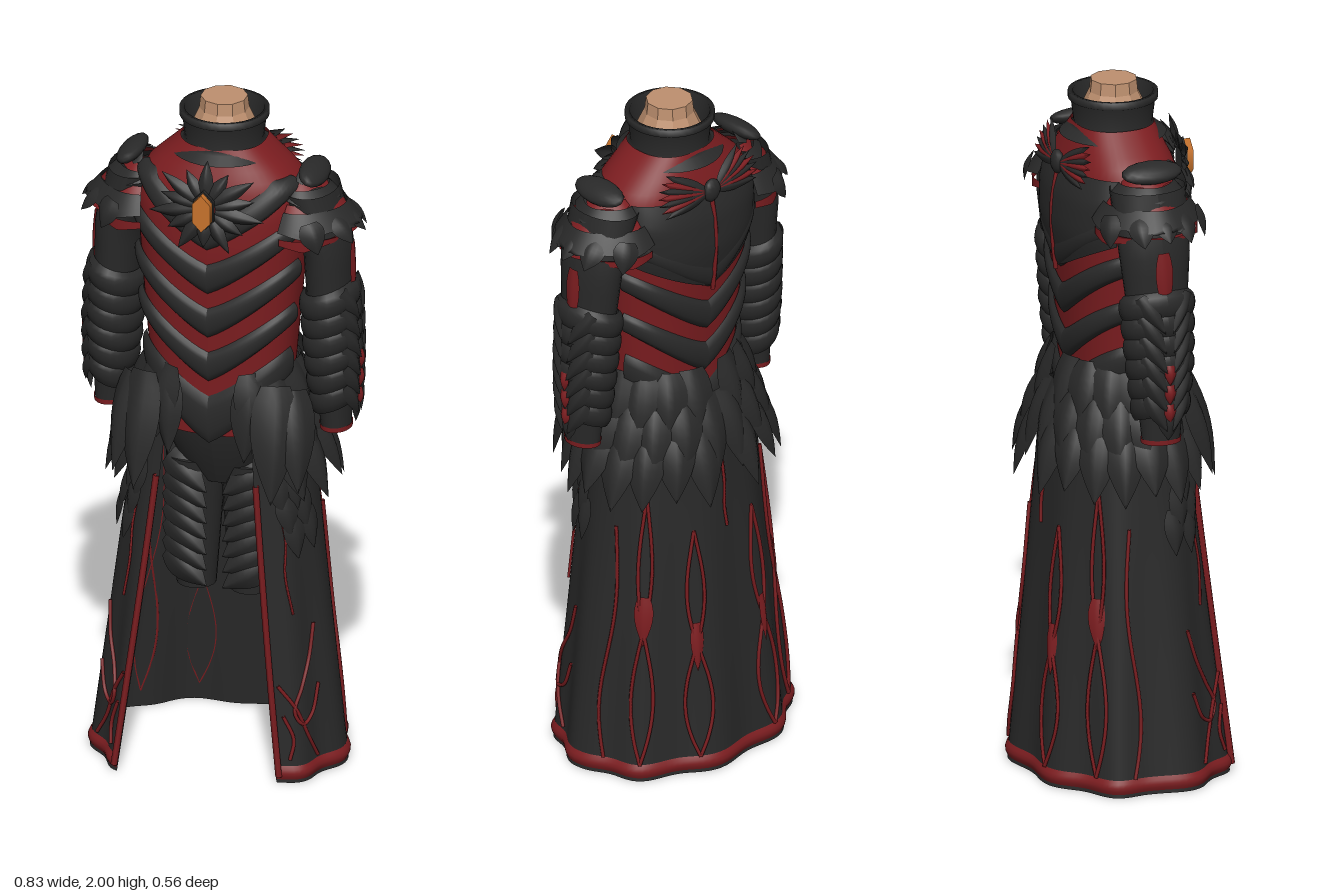
import * as THREE from 'three';

const paint = (name, color) => new THREE.MeshStandardMaterial({ name, color, side: THREE.DoubleSide });
const PI = Math.PI, V = (x, y, z) => new THREE.Vector3(x, y, z);
const mix = THREE.MathUtils.lerp;
const pw = (a, k) => Math.sign(a) * Math.abs(a) ** k;

// Interpolates a table of cross-sections whose first column is descending height
function section(rows, y) {
  let i = 0;
  while (i < rows.length - 2 && y < rows[i + 1][0]) i++;
  const a = rows[i], b = rows[i + 1];
  const t = THREE.MathUtils.clamp((a[0] - y) / (a[0] - b[0]), 0, 1);
  return a.map((n, k) => mix(n, b[k], t));
}

// Smooth surface from a rule f(u, v) -> Vector3
function grid(f, nu, nv) {
  const pos = [], idx = [];
  for (let j = 0; j <= nv; j++) for (let i = 0; i <= nu; i++) {
    const p = f(i / nu, j / nv);
    pos.push(p.x, p.y, p.z);
    if (i < nu && j < nv) {
      const a = j * (nu + 1) + i, b = a + nu + 1;
      idx.push(a, b, a + 1, a + 1, b, b + 1);
    }
  }
  const g = new THREE.BufferGeometry();
  g.setAttribute('position', new THREE.Float32BufferAttribute(pos, 3));
  g.setIndex(idx);
  g.computeVertexNormals();
  return g;
}

// Pointed, ridged leaf plate from one point to another, facing along out
function leaf(from, to, width, out, bulge = 0.015) {
  const dir = to.clone().sub(from).normalize();
  const side = dir.clone().cross(out).normalize(), n = side.clone().cross(dir).normalize();
  return grid((u, v) => {
    const a = u * 2 - 1, w = width / 2 * Math.sin(PI * mix(0.16, 1, v) ** 0.85);
    return from.clone().lerp(to, v).addScaledVector(side, a * w)
      .addScaledVector(n, bulge * (1 - Math.abs(a) ** 1.3) * Math.sin(PI * mix(0.1, 1, v)));
  }, 6, 8);
}

// Height, half width, centre z, half depth
const TORSO = [[1.88, .12, .008, .11], [1.83, .175, .01, .128], [1.78, .23, .012, .148], [1.7, .245, .012, .167],
  [1.6, .238, .012, .172], [1.4, .222, .018, .158], [1.2, .205, .02, .147], [1, .195, .02, .143]];
function torsoAt(a, y, off = 0) {
  const [, hx, cz, hz] = section(TORSO, y);
  return V((hx + off) * pw(Math.sin(a), .85), y, cz + (hz + off) * pw(Math.cos(a), .85));
}

// Long open coat; a = 0 is the front, a = PI the back
function coatAt(a, y, off = 0) {
  const t = 1 - y / 1.02, c = Math.cos(a), k = .86 - .12 * c;
  const fold = Math.sin(a * 9 + 0.6) * 0.012 * t + off;
  const hx = mix(.245, .355, t) + fold, hz = mix(.185, .268, t) + fold;
  const x = hx * pw(Math.sin(a), k);
  return V(x - .008 * t, y, hz * pw(c, k) - .1 * t * x * Math.max(0, c));
}
const coatEdge = y => mix(.57, .42, y / 1.02);

export function createModel() {
  const root = new THREE.Group();
  const black = paint('blackLeather', 0x292929), red = paint('crimsonCloth', 0x7c1d20);
  const skin = paint('skin', 0xbe906f), amber = paint('amber', 0xc8732c);
  const part = name => { const g = new THREE.Group(); g.name = name; root.add(g); return g; };
  const add = (parent, name, geo, mat) => {
    const m = new THREE.Mesh(geo, mat); m.name = name; parent.add(m); return m;
  };
  const tube = (pts, r) => new THREE.TubeGeometry(new THREE.CatmullRomCurve3(pts), pts.length * 6, r, 5);
  const lathe = (pts, n) => new THREE.LatheGeometry(pts.map(p => new THREE.Vector2(...p)), n);

  // Neck and collar
  const neckGeo = lathe([[.105, 1.86], [.1, 1.9], [.07, 1.965], [.066, 2], [0, 2]], 10).toNonIndexed();
  neckGeo.computeVertexNormals();
  add(root, 'neck', neckGeo, skin).position.z = .012;
  add(root, 'collar', lathe([[.15, 1.845], [.122, 1.866], [.11, 1.875], [.118, 1.94], [.126, 1.945], [.126, 1.965],
    [.112, 1.965], [.104, 1.87]], 32), black).position.z = .01;

  // Torso with chevron plates front and back
  const torso = part('torso');
  add(torso, 'tunic', grid((u, v) => torsoAt(u * 2 * PI, mix(1.88, 1.02, v)), 48, 30), red);
  const puff = v => .002 + .016 * Math.sqrt(Math.max(0, Math.sin(PI * v)));
  for (const s of [1, -1]) {
    for (let i = 0; i < 5; i++) for (const back of [0, 1]) {
      if (back && i < 1) continue;
      const tip = 1.645 - i * .137, low = i === 4 ? -.1 : -.045;
      add(torso, back ? 'backChevron' : 'frontChevron', grid((u, v) => {
        const a = mix(0, 1.32, u), y = tip + .155 * Math.sin(a) + mix(.045, low, v) * (1 - .3 * u);
        return torsoAt(s * (back ? PI - a : a), Math.min(y, 1.8), puff(v));
      }, 16, 8), black);
    }
    add(torso, 'backPlate', grid((u, v) => {
      const a = u * 1.15, y = mix(1.77, 1.47 + .12 * Math.sin(a), v);
      return torsoAt(s * (PI - a), y, .004 + .014 * Math.sqrt(Math.sin(PI * mix(.04, .96, v))) * (1 - u ** 6));
    }, 14, 12), black);
  }
  add(torso, 'spineCord', tube([1.76, 1.65, 1.55, 1.46].map(y => torsoAt(PI, y, .016)), .007), red);

  // Breast ornament: petals around a gem
  const brooch = part('brooch');
  for (let i = 0; i < 14; i++) {
    const a = (i + .5) / 14 * 2 * PI, c = Math.cos(a), s = Math.sin(a), r = i % 2 ? .172 : .14;
    add(brooch, 'petal', leaf(V(c * .03, 1.735 + s * .03, .203), V(c * r, 1.735 + s * r * .8, .2 - s * .022 - .02 * c * c),
      .044, V(0, 0, 1)), black);
  }
  const lozenge = (name, size, mat, z) => add(brooch, name,
    new THREE.CylinderGeometry(1, 1, 1, 6).rotateX(PI / 2).scale(...size), mat).position.set(0, 1.735, z);
  lozenge('gemSetting', [.034, .062, .012], black, .216);
  lozenge('gem', [.03, .056, .02], amber, .232);
  // Fans of narrow leaves at the neckline
  const fans = part('necklineLeaves');
  for (const s of [1, -1]) for (let i = 0; i < 7; i++) {
    const a = -.4 + i * .2, c = Math.cos(a), q = Math.sin(a);
    add(fans, 'backLeaf', leaf(V(s * .025, 1.775 + q * .01, -.157), V(s * (.025 + c * .165), 1.785 + q * .1, -.142 + q * .035),
      .034, V(0, .3, -1), .012), i % 2 ? red : black);
  }
  add(fans, 'backKnot', new THREE.SphereGeometry(1, 12, 8).scale(.03, .035, .018), black).position.set(0, 1.775, -.158);

  for (const s of [1, -1]) {
    // Sloping shoulder guard of nested bands
    const guard = part(s > 0 ? 'leftShoulderGuard' : 'rightShoulderGuard');
    const bands = [[0, .34, .006, black], [.3, .46, .002, red], [.43, .64, .007, black], [.6, .76, .001, red],
      [.72, 1.02, .008, black], [1, 1.15, -.006, red]];
    for (const [a, b, off, mat] of bands) add(guard, mat === red ? 'redBand' : 'blackBand', grid((u, v) => {
      const th = mix(-1.8, 1.8, u), c = Math.cos(th);
      const e = mix(a, b - .06 * Math.abs(Math.sin(th * 2.5)) * v, v), r = Math.min(e, 1);
      const peak = .03 * Math.max(0, c) ** 4 * r * (e > 1 ? 0 : 1);
      return V(s * (.23 + (.135 + off) * r * c + peak), 1.812 + off - .16 * e ** 1.4,
        .015 + (.152 + off) * r ** .85 * Math.sin(th));
    }, 32, 8), mat);
    add(guard, 'crest', new THREE.SphereGeometry(1, 16, 10).scale(.042, .024, .09).rotateZ(-s * .45), black)
      .position.set(s * .265, 1.803, .018);
    for (const th of [-1.1, -.45, 0, .45, 1.1]) {
      const c = Math.cos(th), q = Math.sin(th);
      add(guard, 'edgeLeaf', leaf(V(s * (.23 + .12 * c), 1.7, .015 + .145 * q),
        V(s * (.235 + .178 * c), 1.64 - .03 * Math.abs(q), .015 + .16 * q), .075, V(s * c, .4, q)), black);
    }

    // Sleeve, ridged bracer and cuff
    const arm = part(s > 0 ? 'leftArm' : 'rightArm');
    const rows = [[1.76, .25, .01, .08, .11], [1.6, .302, .01, .068, .105], [1.45, .308, .015, .064, .09],
      [1.25, .32, .02, .06, .078], [1.04, .328, .02, .042, .055]];
    const armAt = (a, y, off = 0, lift = 0) => {
      const [, cx, cz, rx, rz] = section(rows, y);
      return V(s * (cx + (rx + off) * Math.cos(a)), y + lift * Math.cos(a), cz + (rz + off) * Math.sin(a));
    };
    add(arm, 'sleeve', grid((u, v) => armAt(u * 2 * PI, mix(1.76, 1.035, v)), 24, 16), black);
    add(arm, 'cuff', grid((u, v) => armAt(u * 2 * PI, mix(1.046, 1.032, v), .003), 24, 1), red);
    add(arm, 'elbowInset', leaf(armAt(0, 1.6, .003), armAt(0, 1.41, .003), .052, V(s, 0, 0), .008), red);
    for (let i = 0; i < 6; i++) {
      const y = 1.43 - i * .058;
      add(arm, 'bracerRidge', grid((u, v) => armAt(u * 2 * PI, y + mix(.035, -.04, v),
        .002 + .02 * Math.sqrt(Math.sin(PI * mix(0, .92, v))), .022), 24, 6), black);
      for (const k of [-1, 1]) add(arm, 'bracerLeaf', leaf(armAt(k * .75, y + .045, .014), armAt(k * .1, y - .06, .026),
        .05, V(s, 0, k * .4)), black);
      if (i > 2) add(arm, 'bracerInset', leaf(armAt(0, y + .02, .021), armAt(0, y - .04, .021), .035, V(s, 0, 0), .012), red);
    }
    add(arm, 'wristLeaf', leaf(armAt(0, 1.15, .01), armAt(0, 1.05, .014), .07, V(s, 0, 0)), black);

    // Waist feathers in overlapping rows
    const waist = part(s > 0 ? 'leftWaistFeathers' : 'rightWaistFeathers');
    for (let row = 0; row < 3; row++) for (let i = 0; i < 7; i++) {
      const a = mix([.95, .78, .6][row], PI - .12, (i + (row % 2) * .4) / 6.5), c = Math.cos(a), q = Math.sin(a);
      const top = [1.07, 1.14, 1.22][row], len = [.22, .22, .22][row] + .02 * Math.sin(i * 2.3);
      const r0 = [.045, .028, .008][row], r1 = [.14, .11, .065][row];
      add(waist, 'feather', leaf(V(s * q * (.2 + r0), top, .015 + c * (.155 + r0)),
        V(s * q * (.2 + r1), top - len, .005 + c * (.155 + r1 * .8)), .118, V(s * q, .25, c), .028), black);
    }
    add(waist, 'frontFeather', leaf(V(s * .12, 1.2, .16), V(s * .11, .96, .195), .1, V(s * .3, 0, 1), .025), black);
    add(waist, 'frontFeather', leaf(V(s * .19, 1.19, .15), V(s * .2, .86, .235), .135, V(s * .4, 0, 1), .03), black);
    add(waist, 'frontFeather', leaf(V(s * .235, 1.17, .12), V(s * .27, .89, .2), .12, V(s * .8, 0, 1), .03), black);

    // Thigh wrapped in slanting feathers
    const leg = part(s > 0 ? 'leftThigh' : 'rightThigh');
    add(leg, 'thigh', new THREE.CylinderGeometry(.086, .056, .4, 20), black).position.set(s * .078, .7, .02);
    for (let i = 0; i < 7; i++) {
      const y = .9 - i * .048;
      add(leg, 'thighFeather', leaf(V(s * .145, y, .07), V(s * .022, y - .085, .11), .1, V(s * .25, .25, 1), .028), black);
    }
    // Hanging side feathers lying on the coat
    for (const [a, y] of [[.75, .93], [1, .93], [.85, .86], [1.15, .86], [.95, .79], [1.25, .8]])
      add(waist, 'hangingFeather', leaf(coatAt(s * a, y, .004), coatAt(s * (a + .04), y - .13, .012), .075,
        V(s * Math.sin(a), 0, Math.cos(a)), .014), black);
  }

  // Hips
  add(root, 'hips', grid((u, v) => {
    const a = u * 2 * PI, r = Math.cos(v * 1.1);
    return V(.198 * r * Math.sin(a), mix(1.14, .84, v), .018 + .15 * r * Math.cos(a));
  }, 32, 10), black);
  add(root, 'beltCord', tube([-.04, 0, .04].map(x => V(x, 1.075 + Math.abs(x) * .3, .176)), .005), red);

  // Coat with trimmed hem and opening
  const coat = part('coat');
  const around = (u, y) => mix(coatEdge(y), 2 * PI - coatEdge(y), u);
  add(coat, 'skirt', grid((u, v) => { const y = mix(1.02, 0, v); return coatAt(around(u, y), y); }, 96, 24), black);
  add(coat, 'hemTrim', grid((u, v) => {
    const y = mix(.05, .01, v);
    return coatAt(around(u, y), y, .001 + .008 * Math.sin(PI * v));
  }, 96, 4), red);
  for (const s of [1, -1]) {
    const steps = [.89, .7, .5, .25, .02];
    add(coat, 'openingTrim', tube(steps.map(y => coatAt(s * (coatEdge(y) + .02), y, .007)), .01), red);
    // Embroidered vines: pairs that swing apart and cross
    const vine = (pts, r = .0055) => add(coat, 'vine', tube(pts.map(([a, y]) => coatAt(s * a, y, .0045)), r), red);
    for (const [mid, amp, top] of [[1.78, .09, .76], [2.2, .13, .86], [2.75, .14, .74]]) for (const k of [-1, 1]) {
      const pts = [];
      for (let i = 0; i <= 12; i++) {
        const t = i / 12;
        pts.push([mid + k * amp * Math.sin(t * PI * 2) * (.5 + .5 * t), mix(top, .05, t)]);
      }
      if (k > 0 || mid > 2) vine(pts);
    }
    // Curls on the front panels
    vine([[.62, .29], [.8, .22], [.95, .13], [1.1, .06]]);
    vine([[1.2, .45], [1.08, .36], [.9, .28], [.78, .21], [.88, .17], [1.05, .19], [1.2, .27]]);
    vine([[.66, .2], [.75, .13], [.7, .07]]);
    vine([[.75, .82], [.82, .72], [.78, .62], [.85, .5]], .004);
    // Buds inside the vine loops
    for (const [a, y, w] of [[2.2, .56, .055], [2.75, .46, .04]]) add(coat, 'vineBud',
      leaf(coatAt(s * a, y, .005), coatAt(s * a, y - .15, .005), w, V(s * Math.sin(a), 0, Math.cos(a)), .008), red);
  }
  add(coat, 'backSeam', tube([.95, .85, .78, .72].map((y, i) => coatAt(PI + .02 * (i % 2), y, .004)), .005), red);
  return root;
}
